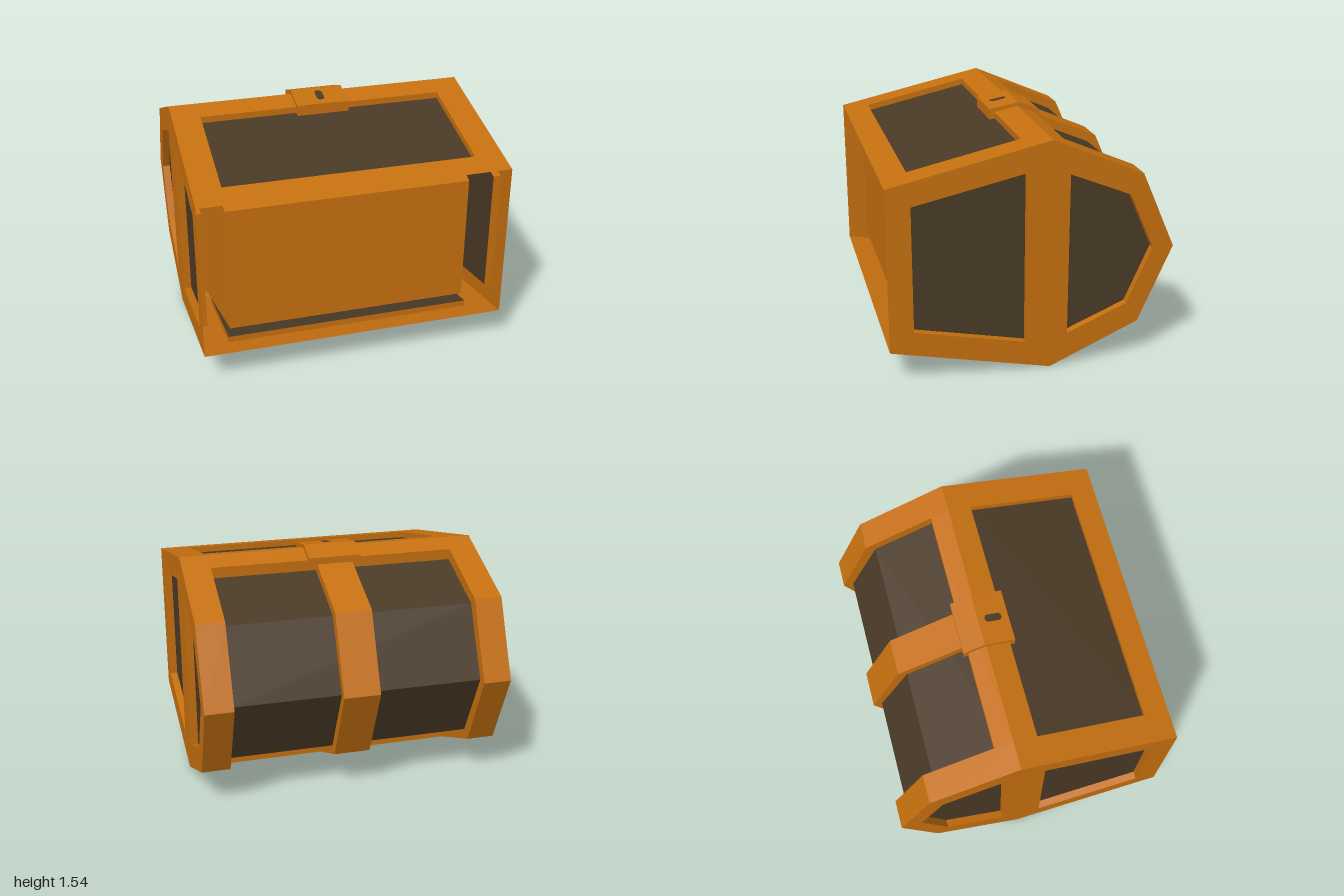
import * as THREE from 'three';

const H = 1.513; // full height, the body is mirrored about H / 2
const flip = (p) => [p[0], H - p[1], p[2]];

// Flat-shaded strip of quads between two rows of points
function loft(a, b, closed = false) {
  const pos = [];
  const n = a.length;
  for (let i = 0; i < (closed ? n : n - 1); i++) {
    const j = (i + 1) % n;
    pos.push(...a[i], ...b[i], ...b[j], ...a[i], ...b[j], ...a[j]);
  }
  const g = new THREE.BufferGeometry();
  g.setAttribute('position', new THREE.Float32BufferAttribute(pos, 3));
  g.computeVertexNormals();
  return g;
}

// Height of the upper shell at a given z
const topY = (z) => (z > -0.11 ? H - (z + 0.11) * 0.22 : H - (-0.11 - z) * 0.429);
// Rectangle lying on the upper slope, lowered by drop
const slopeRect = (x, z0, z1, drop = 0) => [
  [-x, topY(z0) - drop, z0], [x, topY(z0) - drop, z0],
  [x, topY(z1) - drop, z1], [-x, topY(z1) - drop, z1],
];
// A [z, y] profile placed at x
const at = (x, prof) => prof.map(([z, y]) => [x, y, z]);

export function createModel() {
  const group = new THREE.Group();
  const orange = new THREE.MeshStandardMaterial({ color: 0xc6700f, side: THREE.DoubleSide });
  orange.name = 'orange wood';
  const dark = new THREE.MeshStandardMaterial({ color: 0x4a3a26, side: THREE.DoubleSide });
  dark.name = 'dark panel';
  const add = (name, geo, mat) => {
    const m = new THREE.Mesh(geo, mat);
    m.name = name;
    group.add(m);
    return m;
  };

  // Side profiles in [z, y]
  const outline = [[0.916, 1.287], [0.916, 0.226], [-0.11, 0], [-0.695, 0.255],
    [-0.916, H / 2], [-0.695, 1.258], [-0.11, H]];
  const windows = [
    [[0.763, 1.165], [0.763, 0.348], [0.049, 0.194], [0.049, 1.319]],
    [[-0.222, 1.289], [-0.616, 1.125], [-0.778, H / 2], [-0.616, 0.388], [-0.222, 0.224]],
  ];
  const toVec = (pts) => pts.map(([z, y]) => new THREE.Vector2(z, y));

  // Side frames with recessed panels
  for (const s of [-1, 1]) {
    const shape = new THREE.Shape(toVec(outline));
    windows.forEach((w) => shape.holes.push(new THREE.Path(toVec(w))));
    const frame = new THREE.ShapeGeometry(shape).rotateY(-Math.PI / 2).translate(s, 0, 0);
    add('sideFrame', frame, orange);
    for (const w of windows) {
      add('sideWindowEdge', loft(at(s, w), at(s * 0.95, w), true), orange);
      const panel = new THREE.ShapeGeometry(new THREE.Shape(toVec(w)));
      add('sidePanel', panel.rotateY(-Math.PI / 2).translate(s * 0.95, 0, 0), dark);
    }
  }

  // Sloping walls with a recessed panel, and the rim bar of the lid
  const wx = 0.815;
  for (const f of [(p) => p, flip]) {
    const outer = slopeRect(1, 0.916, -0.11).map(f);
    const inner = slopeRect(wx, 0.753, 0.043).map(f);
    const sunk = slopeRect(wx, 0.753, 0.043, 0.042).map(f);
    add('wallFrame', loft(outer, inner, true), orange);
    add('wallWindowEdge', loft(inner, sunk, true), orange);
    add('wallPanel', loft([sunk[0], sunk[1]], [sunk[3], sunk[2]]), dark);
    const bar = [[-0.11, H], [-0.23, topY(-0.23)], [-0.23, topY(-0.23) - 0.07]];
    add('lidRimBar', loft(at(-wx, bar).map(f), at(wx, bar).map(f)), orange);
  }

  // Lid: dark inner skin, raised end bands and centre strap
  const lid = [[-0.11, H], [-0.695, 1.258], [-0.916, H / 2], [-0.695, 0.255], [-0.11, 0]];
  const skin = [[-0.11, 1.437], [-0.635, 1.211], [-0.85, H / 2], [-0.635, 0.302], [-0.11, 0.076]];
  add('lidPanel', loft(at(-wx, skin), at(wx, skin)), dark);
  for (const s of [-1, 1]) {
    add('lidEndBand', loft(at(s * wx, lid), at(s, lid)), orange);
    add('lidBandEdge', loft(at(s * wx, lid), at(s * wx, skin)), orange);
  }
  const strap = [[-0.11, 1.503], [-0.69, 1.25], [-0.908, H / 2], [-0.69, 0.263], [-0.11, 0.01]];
  add('lidStrap', loft(at(-0.12, strap), at(0.12, strap)), orange);
  for (const s of [-0.12, 0.12]) add('strapEdge', loft(at(s, strap), at(s, skin)), orange);

  // Inner box seen through the open front, with the wall behind it
  const rect = (x0, x1, y0, y1, z) => [[x0, y0, z], [x1, y0, z], [x1, y1, z], [x0, y1, z]];
  const front = rect(-0.81, 0.765, 0.33, 1.18, 0.8);
  const back = rect(-0.855, 0.855, 0.155, 1.357, 0);
  add('innerBoxSides', loft(front, back, true), orange);
  add('innerBoxFace', loft([front[0], front[1]], [front[3], front[2]]), orange);
  add('innerWall', loft(back, rect(-0.95, 0.95, 0.11, 1.4, 0), true), orange);

  // Latch with keyhole
  const latchShape = new THREE.Shape(toVec([[0.078, 1.426], [0.078, 1.501], [-0.12, 1.537],
    [-0.26, 1.483], [-0.26, 1.42]]));
  const latch = new THREE.ExtrudeGeometry(latchShape, { depth: 0.35, bevelEnabled: false });
  add('latch', latch.rotateY(-Math.PI / 2).translate(0.175, 0, 0), orange);
  const hole = new THREE.Shape(toVec([[-0.025, 0.04], [-0.025, -0.04], [-0.012, -0.055],
    [0.012, -0.055], [0.025, -0.04], [0.025, 0.04], [0.012, 0.055], [-0.012, 0.055]]));
  const key = add('keyhole', new THREE.ShapeGeometry(hole).rotateX(-Math.PI / 2), dark);
  key.rotation.x = Math.atan2(0.036, 0.198);
  key.position.set(0, 1.522, -0.021);
  return group;
}
